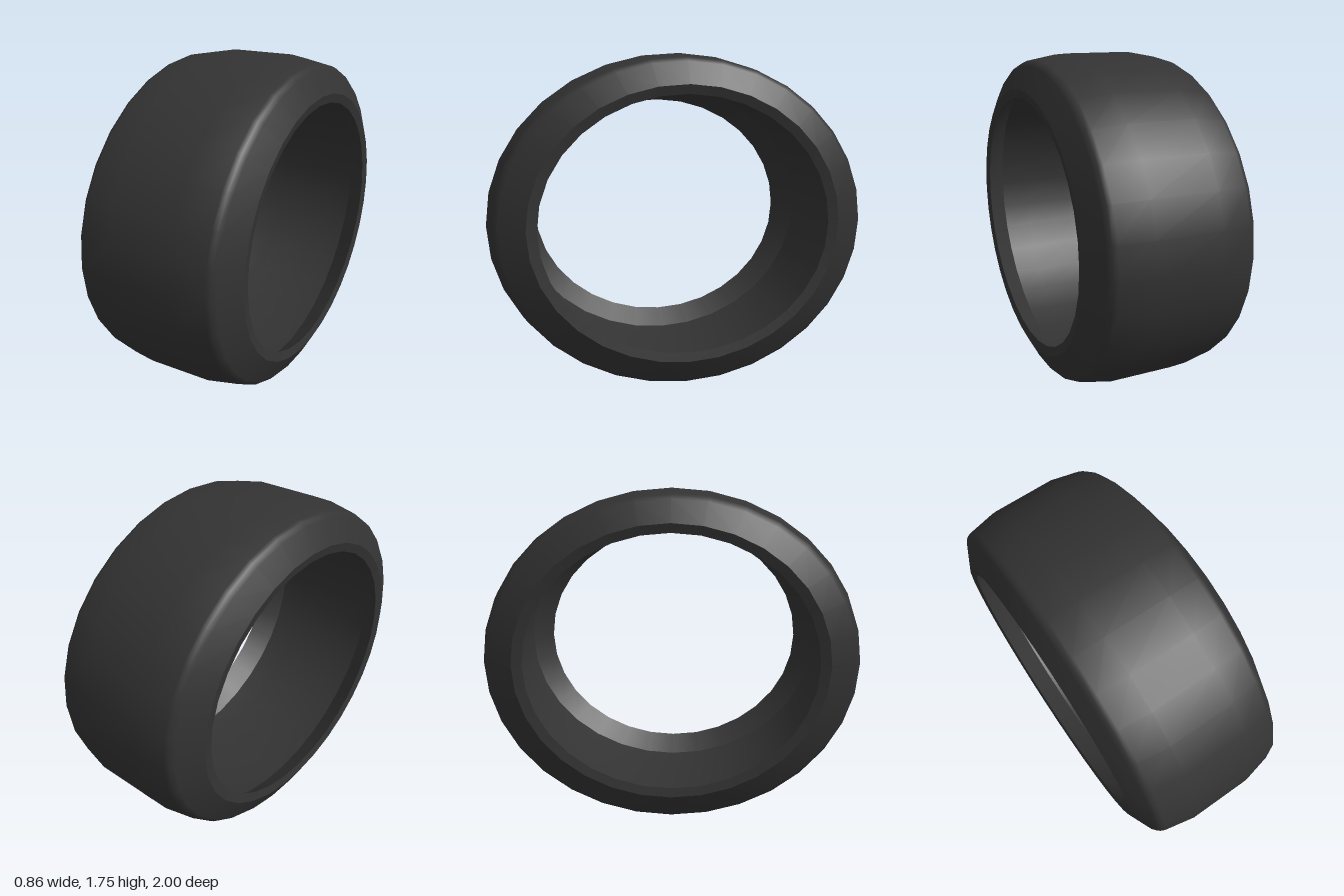
import * as THREE from 'three';

const SIDES = 32;
const HEIGHT = 1.75; // slightly squashed ring: 1.75 tall, 2 long

// Revolve a [x, radius] profile around the x axis, then squash it vertically.
function ring(name, profile, material) {
  const geometry = new THREE.LatheGeometry(
    profile.map(([x, r]) => new THREE.Vector2(r, x)), SIDES);
  geometry.rotateZ(-Math.PI / 2);
  geometry.scale(1, HEIGHT / 2, 1);
  geometry.translate(0, HEIGHT / 2, 0);
  const mesh = new THREE.Mesh(geometry, material);
  mesh.name = name;
  return mesh;
}

// Complete a half profile (centre to +x side) with its mirror image.
const mirrored = (half) => [...half.map(([x, r]) => [-x, r]).reverse(), ...half];

export function createModel() {
  const group = new THREE.Group();
  group.name = 'tire';
  const rubber = new THREE.MeshStandardMaterial({ color: 0x333333, side: THREE.DoubleSide });

  // Tread, rounded shoulders and sloping sidewalls
  group.add(ring('treadAndSidewalls', mirrored([
    [0.17, 1], [0.33, 0.967], [0.352, 0.957], [0.37, 0.935], [0.43, 0.803],
  ]), rubber));

  // Chamfered bead lips around both openings
  group.add(ring('rightBead', [[-0.42, 0.75], [-0.43, 0.803]], rubber));
  group.add(ring('leftBead', [[0.43, 0.803], [0.42, 0.75]], rubber));

  // Hollow inside: undercut side faces and inner wall, facing the axis
  group.add(ring('rightInnerFace', [[-0.31, 0.85], [-0.42, 0.75]], rubber));
  group.add(ring('leftInnerFace', [[0.42, 0.75], [0.31, 0.85]], rubber));
  group.add(ring('innerWall', [[0.31, 0.85], [0.15, 0.87], [-0.15, 0.87], [-0.31, 0.85]], rubber));

  return group;
}
